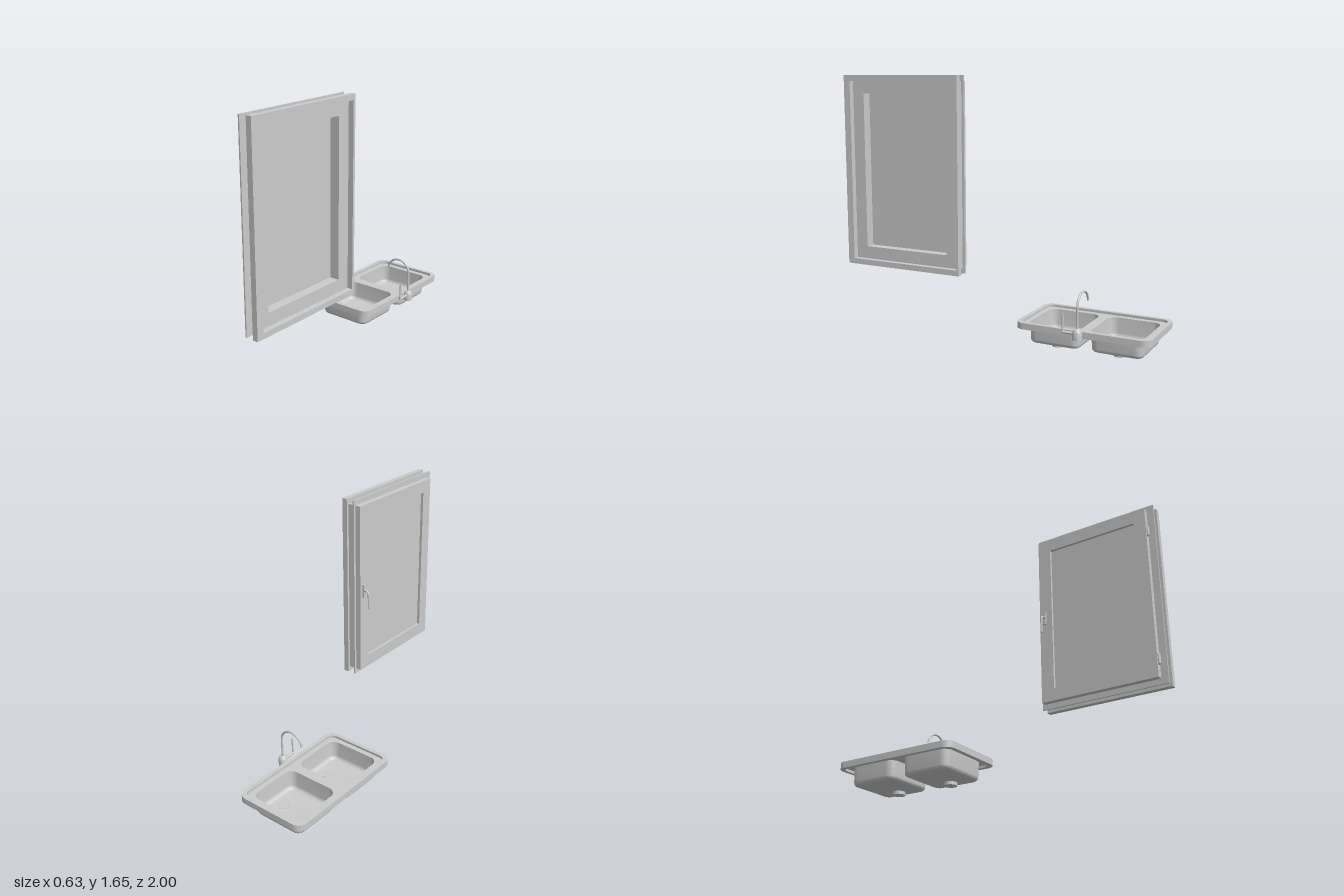
import * as THREE from 'three';
import { toCreasedNormals } from 'three/addons/utils/BufferGeometryUtils.js';

const grey = new THREE.MeshStandardMaterial({ color: 0xcccccc, side: THREE.DoubleSide });

function add(parent, name, geometry, x = 0, y = 0, z = 0) {
  const mesh = new THREE.Mesh(geometry, grey);
  mesh.name = name;
  mesh.position.set(x, y, z);
  parent.add(mesh);
  return mesh;
}

// Rounded rectangle path; r = 0 gives sharp corners
function rect(x0, x1, y0, y1, r = 0, Type = THREE.Shape) {
  const s = new Type();
  if (!r) {
    s.moveTo(x0, y0).lineTo(x1, y0).lineTo(x1, y1).lineTo(x0, y1).closePath();
    return s;
  }
  s.absarc(x1 - r, y0 + r, r, -Math.PI / 2, 0);
  s.absarc(x1 - r, y1 - r, r, 0, Math.PI / 2);
  s.absarc(x0 + r, y1 - r, r, Math.PI / 2, Math.PI);
  s.absarc(x0 + r, y0 + r, r, Math.PI, Math.PI * 1.5);
  s.closePath();
  return s;
}

function extrude(shape, depth) {
  return toCreasedNormals(new THREE.ExtrudeGeometry(shape, { depth, bevelEnabled: false, curveSegments: 8 }), 0.6);
}

// Rectangular ring in the z/y plane, running from x0 to x1; o and i are [z0, z1, y0, y1]
function windowRing(parent, name, o, i, x0, x1) {
  const s = rect(-o[1], -o[0], o[2], o[3]);
  s.holes.push(rect(-i[1], -i[0], i[2], i[3], 0, THREE.Path));
  return add(parent, name, extrude(s, x1 - x0).rotateY(Math.PI / 2), x0);
}

// Horizontal plate with rounded holes; o and holes are [x0, x1, z0, z1, r]
function plate(parent, name, o, holes, y0, y1) {
  const s = rect(o[0], o[1], -o[3], -o[2], o[4]);
  for (const h of holes) s.holes.push(rect(h[0], h[1], -h[3], -h[2], h[4], THREE.Path));
  return add(parent, name, extrude(s, y1 - y0).rotateX(-Math.PI / 2), 0, y0);
}

// Open bowl lofted through rounded rectangles, closed at the floor
function bowlGeometry(x0, x1, z0, z1, yTop, yFloor) {
  const pos = [], index = [], f = 0.025, sections = [[yTop, 0]];
  for (let k = 0; k <= 5; k++) {
    const a = (k / 5) * Math.PI / 2;
    sections.push([yFloor + f * (1 - Math.sin(a)), 0.004 + f * (1 - Math.cos(a))]);
  }
  let n = 0;
  for (const [y, d] of sections) {
    const loop = [];
    const r = 0.055 - d;
    [[x1, z1, 0], [x0, z1, 1], [x0, z0, 2], [x1, z0, 3]].forEach(([cx, cz, q]) => {
      const sx = cx === x1 ? 1 : -1, sz = cz === z1 ? 1 : -1;
      for (let k = 0; k <= 8; k++) {
        const a = (q + k / 8) * Math.PI / 2;
        loop.push([cx - sx * (d + r) + r * Math.cos(a), cz - sz * (d + r) + r * Math.sin(a)]);
      }
    });
    n = loop.length;
    for (const [x, z] of loop) pos.push(x, y, z);
  }
  for (let s = 0; s < sections.length - 1; s++) {
    for (let k = 0; k < n; k++) {
      const a = s * n + k, b = s * n + (k + 1) % n;
      index.push(a, b, a + n, b, b + n, a + n);
    }
  }
  const last = (sections.length - 1) * n, centre = pos.length / 3;
  pos.push((x0 + x1) / 2, yFloor, (z0 + z1) / 2);
  for (let k = 0; k < n; k++) index.push(last + k, last + (k + 1) % n, centre);
  const g = new THREE.BufferGeometry();
  g.setAttribute('position', new THREE.Float32BufferAttribute(pos, 3));
  g.setIndex(index);
  return toCreasedNormals(g, 0.6);
}

function buildWindow() {
  const g = new THREE.Group();
  g.name = 'window';
  const outer = [0.172, 1.0, 0.44, 1.65];
  const sash = [0.188, 0.955, 0.475, 1.615];
  const opening = [0.275, 0.875, 0.555, 1.535];
  windowRing(g, 'outerFrame', outer, sash, 0.278, 0.313);
  windowRing(g, 'frameFlange', outer, sash, 0.223, 0.232);
  windowRing(g, 'sash', sash, opening, 0.187, 0.278);
  add(g, 'glassPane', new THREE.BoxGeometry(0.012, 0.98, 0.6), 0.211, 1.045, 0.575);
  for (const y of [0.593, 1.458]) add(g, 'hinge', new THREE.CapsuleGeometry(0.01, 0.056, 6, 12), 0.206, y, 0.959);

  // Handle: back plate, neck and drooping lever
  const h = new THREE.Group();
  h.name = 'windowHandle';
  add(h, 'handlePlate', new THREE.BoxGeometry(0.012, 0.09, 0.026), 0.181, 1.045, 0.222);
  const lever = new THREE.CatmullRomCurve3([[0.18, 1.05], [0.16, 1.048], [0.148, 1.035], [0.144, 0.99], [0.143, 0.935]]
    .map(([x, y]) => new THREE.Vector3(x, y, 0.222)));
  add(h, 'handleLever', new THREE.TubeGeometry(lever, 20, 0.007, 10));
  add(h, 'handleNeck', new THREE.CylinderGeometry(0.011, 0.011, 0.02, 16).rotateZ(Math.PI / 2), 0.168, 1.05, 0.222);
  add(h, 'handleTip', new THREE.SphereGeometry(0.007, 10, 8), 0.143, 0.935, 0.222);
  g.add(h);
  return g;
}

function buildSink() {
  const g = new THREE.Group();
  g.name = 'sink';
  const bowls = [[-0.254, 0.114, -0.94, -0.604, 0.055], [-0.254, 0.114, -0.54, -0.2, 0.055]];
  const inner = [-0.29, 0.15, -0.975, -0.168, 0.045];
  plate(g, 'sinkRim', [-0.317, 0.177, -1.0, -0.14, 0.06], [inner], 0.122, 0.162);
  plate(g, 'sinkDeck', inner, bowls, 0.138, 0.146);
  for (const [x0, x1, z0, z1] of bowls) {
    add(g, 'bowl', bowlGeometry(x0, x1, z0, z1, 0.146, 0.02));
    add(g, 'drain', new THREE.CylinderGeometry(0.041, 0.041, 0.022, 32), 0.022, 0.011, (z0 + z1) / 2);
  }
  return g;
}

function buildFaucet() {
  const g = new THREE.Group();
  g.name = 'faucet';
  g.position.set(0.211, 0, -0.57);
  // Turned base
  const profile = [[0, 0.122], [0.028, 0.122], [0.028, 0.165], [0.024, 0.176], [0.014, 0.188], [0, 0.192]]
    .map(([x, y]) => new THREE.Vector2(x, y));
  add(g, 'faucetBase', toCreasedNormals(new THREE.LatheGeometry(profile, 28), 0.6));
  // Swan-neck spout: straight riser, then an arc
  const path = new THREE.CurvePath();
  path.add(new THREE.LineCurve3(new THREE.Vector3(0, 0.18, 0), new THREE.Vector3(0, 0.312, 0)));
  const arc = [];
  for (let k = 0; k <= 16; k++) {
    const a = (k / 16) * Math.PI * 0.96;
    arc.push(new THREE.Vector3(-0.083 + 0.083 * Math.cos(a), 0.312 + 0.081 * Math.sin(a), 0));
  }
  path.add(new THREE.CatmullRomCurve3(arc));
  add(g, 'spout', new THREE.TubeGeometry(path, 60, 0.007, 12));
  // Side valve with an upright lever
  add(g, 'valveStem', new THREE.CylinderGeometry(0.009, 0.009, 0.07, 16).rotateX(Math.PI / 2), 0, 0.157, 0.058);
  add(g, 'valveLever', new THREE.CylinderGeometry(0.005, 0.007, 0.118, 12), 0, 0.209, 0.093);
  return g;
}

export function createModel() {
  const model = new THREE.Group();
  model.name = 'kitchenWindowAndSink';
  model.add(buildWindow(), buildSink(), buildFaucet());
  return model;
}
